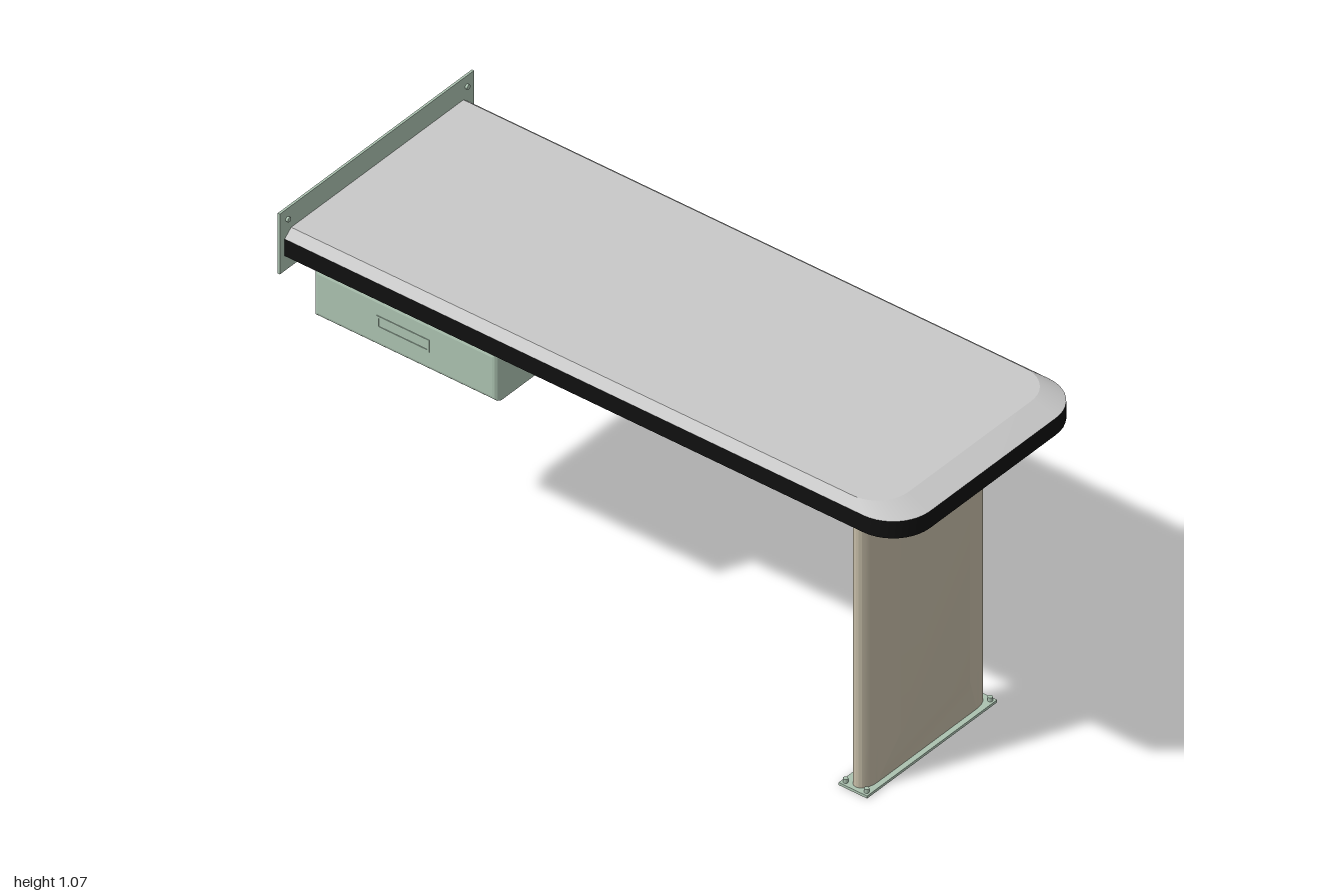
import * as THREE from 'three';
import { toCreasedNormals } from 'three/addons/utils/BufferGeometryUtils.js';

const paint = (name, color) => {
  const m = new THREE.MeshStandardMaterial({ color });
  m.name = name;
  return m;
};

// Skin stacked rings (each a list of [x, y, z], counter-clockwise from above)
function loft(rings, { bottom = false, top = false } = {}) {
  const pos = [];
  const tri = (a, b, c) => pos.push(...a, ...b, ...c);
  const n = rings[0].length;
  for (let k = 0; k < rings.length - 1; k++) {
    for (let i = 0; i < n; i++) {
      const j = (i + 1) % n, lo = rings[k], hi = rings[k + 1];
      tri(lo[i], lo[j], hi[j]);
      tri(lo[i], hi[j], hi[i]);
    }
  }
  const last = rings[rings.length - 1];
  for (let i = 1; i < n - 1; i++) {
    if (bottom) tri(rings[0][0], rings[0][i + 1], rings[0][i]);
    if (top) tri(last[0], last[i], last[i + 1]);
  }
  const g = new THREE.BufferGeometry();
  g.setAttribute('position', new THREE.Float32BufferAttribute(pos, 3));
  return toCreasedNormals(g, 0.28);
}

// Tabletop outline: square at the wall, rounded at the free end
function tableRing(y, halfZ, endX, r) {
  const pts = [[-0.992, y, halfZ]];
  for (const s of [1, -1]) {
    for (let i = 0; i <= 10; i++) {
      const a = ((s > 0 ? 10 - i : i) / 10) * Math.PI / 2;
      pts.push([endX - r + r * Math.cos(a), y, s * (halfZ - r + r * Math.sin(a))]);
    }
  }
  pts.push([-0.992, y, -halfZ]);
  return pts;
}

// Leg section: flat middle, angled shoulders, round ends; the foot is pinched
function legRing(y, pinched) {
  const pts = [];
  const shoulder = pinched ? [0.03, 0.2] : [0.056, 0.14];
  for (const s of [1, -1]) {
    pts.push([s * shoulder[0], y, s * shoulder[1]], [s * shoulder[0], y, -s * shoulder[1]]);
    for (let i = 0; i <= 12; i++) {
      const a = (i / 12) * Math.PI;
      pts.push([s * 0.03 * Math.cos(a), y, -s * (0.2 + 0.05 * Math.sin(a))]);
    }
  }
  return pts;
}

function rect(w, h, Type = THREE.Shape) {
  return new Type([[-w, -h], [w, -h], [w, h], [-w, h]].map(([x, y]) => new THREE.Vector2(x / 2, y / 2)));
}

export function createModel() {
  const model = new THREE.Group();
  model.name = 'wallTable';
  const gray = paint('laminate gray', 0xc8c8c8);
  const black = paint('edge black', 0x101010);
  const green = paint('metal green', 0xabc2b0);
  const beige = paint('leg beige', 0xc4bba6);

  const add = (name, geo, mat, x = 0, y = 0, z = 0, parent = model) => {
    const m = new THREE.Mesh(geo, mat);
    m.name = name;
    m.position.set(x, y, z);
    parent.add(m);
    return m;
  };
  const box = (name, mat, [x0, x1], [y0, y1], [z0, z1], parent) =>
    add(name, new THREE.BoxGeometry(x1 - x0, y1 - y0, z1 - z0), mat,
      (x0 + x1) / 2, (y0 + y1) / 2, (z0 + z1) / 2, parent);

  // Tabletop: bevelled underside, dark edge band, bevelled top
  const under = tableRing(0.903, 0.31, 0.84, 0.1);
  const bandLow = tableRing(0.93, 0.373, 1, 0.12);
  const bandHigh = tableRing(0.983, 0.373, 1, 0.12);
  const upper = tableRing(1.005, 0.347, 0.925, 0.1);
  add('tabletopUnderside', loft([under, bandLow], { bottom: true }), gray);
  add('tabletopEdge', loft([bandLow, bandHigh]), black);
  add('tabletopSurface', loft([bandHigh, upper], { top: true }), gray);

  // Wall plate with a screw at each upper corner
  box('wallPlate', green, [-1, -0.993], [0.882, 1.071], [-0.391, 0.391]);
  const screw = new THREE.CylinderGeometry(0.007, 0.007, 0.012, 16);
  for (const s of [1, -1]) {
    add('wallScrew', screw, green, -0.992, 1.039, s * 0.361).rotation.z = Math.PI / 2;
  }

  // Leg on its foot plate
  const leg = new THREE.Group();
  leg.name = 'leg';
  leg.position.set(0.761, 0, 0.005);
  model.add(leg);
  add('legColumn', loft([legRing(0.008, true), legRing(0.14), legRing(0.905)], { bottom: true, top: true }),
    beige, 0, 0, 0, leg);
  box('footPlate', green, [-0.046, 0.046], [0, 0.008], [-0.262, 0.262], leg);
  const bolt = new THREE.CylinderGeometry(0.007, 0.007, 0.012, 12);
  for (const sx of [1, -1]) {
    for (const sz of [1, -1]) add('footBolt', bolt, green, sx * 0.034, 0.014, sz * 0.249, leg);
  }

  // Drawer hung below the tabletop
  const drawer = new THREE.Group();
  drawer.name = 'drawer';
  model.add(drawer);
  box('drawerBody', green, [-0.935, -0.342], [0.742, 0.896], [-0.15, 0.312], drawer);
  const front = new THREE.ExtrudeGeometry(rect(0.565, 0.122), {
    depth: 0.002, bevelThickness: 0.014, bevelSize: 0.014, bevelSegments: 3,
  });
  add('drawerFront', front, green, -0.6385, 0.82, 0.314, drawer);
  const frame = rect(0.17, 0.038);
  frame.holes.push(rect(0.158, 0.026, THREE.Path));
  add('drawerPull', new THREE.ExtrudeGeometry(frame, { depth: 0.003, bevelEnabled: false }),
    green, -0.643, 0.823, 0.329, drawer);

  // Hanging rails on both sides of the drawer
  for (const x of [-0.95, -0.331]) {
    box('drawerRail', green, [x - 0.008, x + 0.008], [0.87, 0.904], [-0.15, 0.302], drawer);
    box('drawerRailFlange', green, [x - 0.016, x + 0.016], [0.896, 0.904], [-0.15, 0.302], drawer);
  }
  return model;
}
